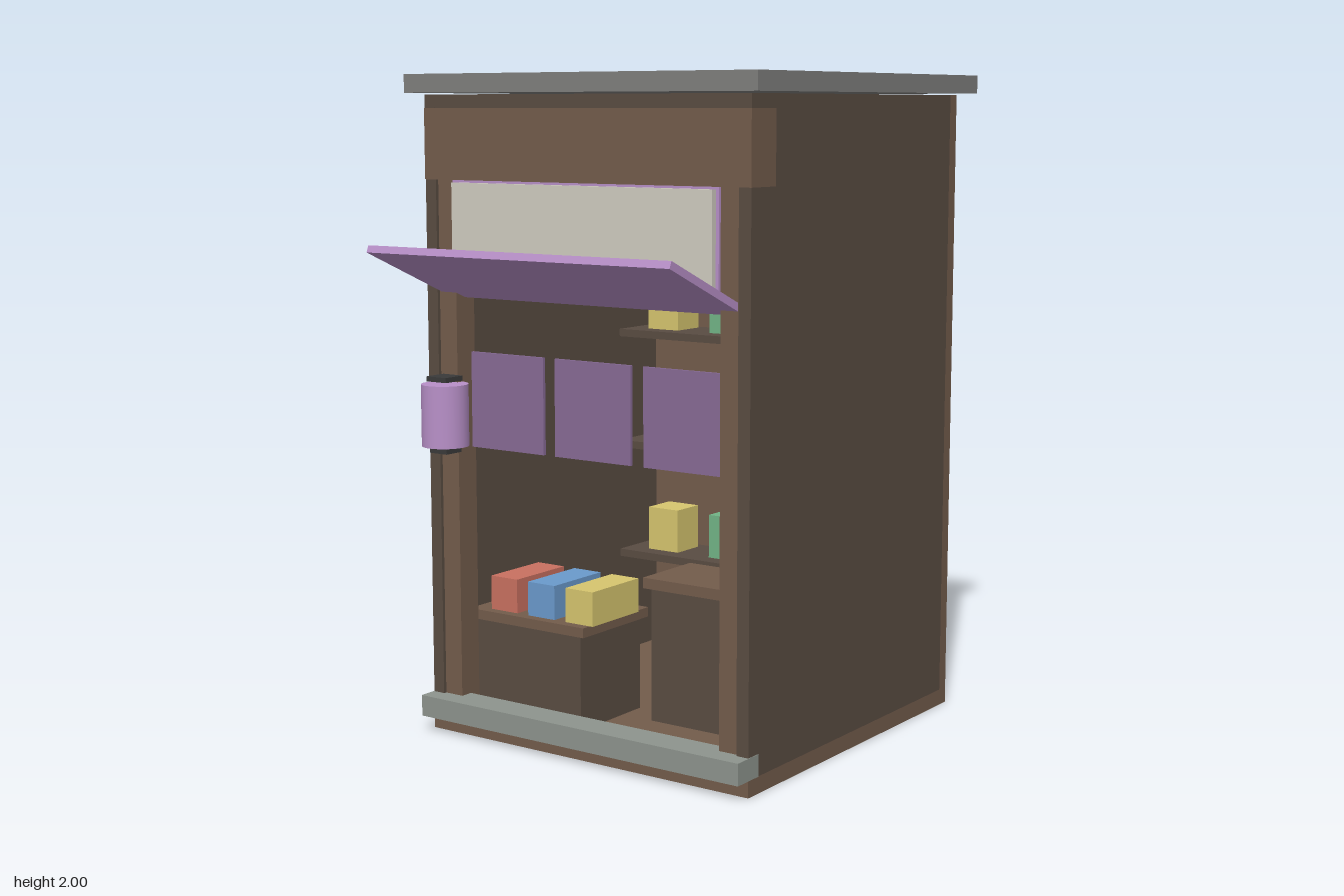
import * as THREE from 'three';

const COLORS = {
  brown: 0x735c4b, dark: 0x594c42, roof: 0x7f7f7d, stone: 0x8d948d, cream: 0xd0ccc0,
  purple: 0xb890c8, cloth: 0x876a95, metal: 0x3a3a3a, grey: 0x707274,
  red: 0xc87060, blue: 0x6a9acc, yellow: 0xd6c56e, green: 0x72b486, pink: 0xb880c0,
};
const materials = {};
for (const k in COLORS) materials[k] = new THREE.MeshStandardMaterial({ color: COLORS[k] });

function add(parent, name, geometry, color) {
  const mesh = new THREE.Mesh(geometry, materials[color]);
  mesh.name = name;
  parent.add(mesh);
  return mesh;
}

// Box given by its extents along each axis
function box(parent, name, color, [x0, x1], [y0, y1], [z0, z1]) {
  const m = add(parent, name, new THREE.BoxGeometry(x1 - x0, y1 - y0, z1 - z0), color);
  m.position.set((x0 + x1) / 2, (y0 + y1) / 2, (z0 + z1) / 2);
  return m;
}

function group(parent, name) {
  const g = new THREE.Group();
  g.name = name;
  parent.add(g);
  return g;
}

export function createModel() {
  const stall = new THREE.Group();
  stall.name = 'marketStall';

  // Shell: floor, walls, ceiling, lintel and roof
  const shell = group(stall, 'shell');
  box(shell, 'floor', 'brown', [-0.58, 0.58], [0, 0.05], [-0.71, 0.45]);
  box(shell, 'backWall', 'brown', [-0.58, 0.58], [0.05, 1.94], [-0.71, -0.67]);
  box(shell, 'ceiling', 'dark', [-0.54, 0.54], [1.9, 1.94], [-0.67, 0.45]);
  box(shell, 'lintel', 'brown', [-0.581, 0.581], [1.69, 1.9], [0.33, 0.452]);
  box(shell, 'roof', 'roof', [-0.625, 0.625], [1.945, 2], [-0.76, 0.49]);
  box(shell, 'threshold', 'stone', [-0.582, 0.582], [0.05, 0.115], [0.4, 0.505]);
  for (const s of [-1, 1]) {
    const span = (a, b) => (s > 0 ? [a, b] : [-b, -a]);
    const side = s > 0 ? 'left' : 'right';
    box(shell, side + 'Wall', 'dark', span(0.54, 0.58), [0.05, 1.94], [-0.67, 0.45]);
    box(shell, side + 'Post', 'brown', span(0.475, 0.54), [0.05, 1.69], [0.36, 0.44]);
  }

  // Sign board with its backing, and the sloping awning below it
  box(stall, 'signBacking', 'purple', [-0.475, 0.475], [1.39, 1.692], [0.43, 0.449]);
  box(stall, 'signBoard', 'cream', [-0.465, 0.465], [1.4, 1.683], [0.449, 0.467]);
  const awning = add(stall, 'awning', new THREE.BoxGeometry(1.065, 0.022, 0.39), 'purple');
  awning.position.set(0, 1.425, 0.576);
  awning.rotation.x = -0.4;

  // Hanging cloth panels
  for (const x of [-0.322, -0.003, 0.318]) {
    box(stall, 'clothPanel', 'cloth', [x - 0.138, x + 0.138], [0.885, 1.175], [0.383, 0.393]);
  }

  // Lantern
  const lantern = group(stall, 'lantern');
  lantern.position.set(-0.485, 0, 0.487);
  add(lantern, 'lanternBody', new THREE.CylinderGeometry(0.071, 0.071, 0.187, 24), 'purple')
    .position.y = 0.992;
  box(lantern, 'lanternTopCap', 'metal', [-0.038, 0.038], [1.094, 1.109], [-0.038, 0.038]);
  box(lantern, 'lanternBottomCap', 'metal', [-0.033, 0.033], [0.878, 0.893], [-0.033, 0.033]);

  // Back shelves, each with a row of goods
  const shelves = group(stall, 'shelves');
  const rows = [
    [0.41, ['yellow', 'green', 'pink', 'red']],
    [0.787, ['red', 'blue', 'yellow', 'green']],
    [1.165, ['yellow', 'green', 'pink', 'red']],
  ];
  for (const [y, colors] of rows) {
    box(shelves, 'shelf', 'dark', [-0.54, 0.54], [y - 0.025, y], [-0.67, -0.46]);
    colors.forEach((color, i) => {
      const x = -0.396 + i * 0.247;
      box(shelves, 'shelfGoods', color, [x - 0.06, x + 0.06], [y + 0.002, y + 0.147], [-0.63, -0.51]);
    });
  }

  // Front counter with three boxes on display
  const display = group(stall, 'displayCounter');
  box(display, 'displayBody', 'dark', [-0.49, -0.085], [0.05, 0.34], [0.05, 0.35]);
  box(display, 'displayTop', 'brown', [-0.51, -0.068], [0.34, 0.37], [0.03, 0.358]);
  ['red', 'blue', 'yellow'].forEach((color, i) => {
    const x = -0.395 + i * 0.145;
    box(display, 'displayBox', color, [x - 0.051, x + 0.051], [0.371, 0.476], [0.1, 0.33]);
  });

  // Cash counter
  const cash = group(stall, 'cashCounter');
  box(cash, 'cashBody', 'dark', [0.025, 0.46], [0.05, 0.462], [-0.08, 0.14]);
  box(cash, 'cashTop', 'brown', [0, 0.485], [0.462, 0.495], [-0.1, 0.15]);
  box(cash, 'cashBox', 'grey', [0.328, 0.425], [0.495, 0.585], [-0.02, 0.08]);

  return stall;
}
